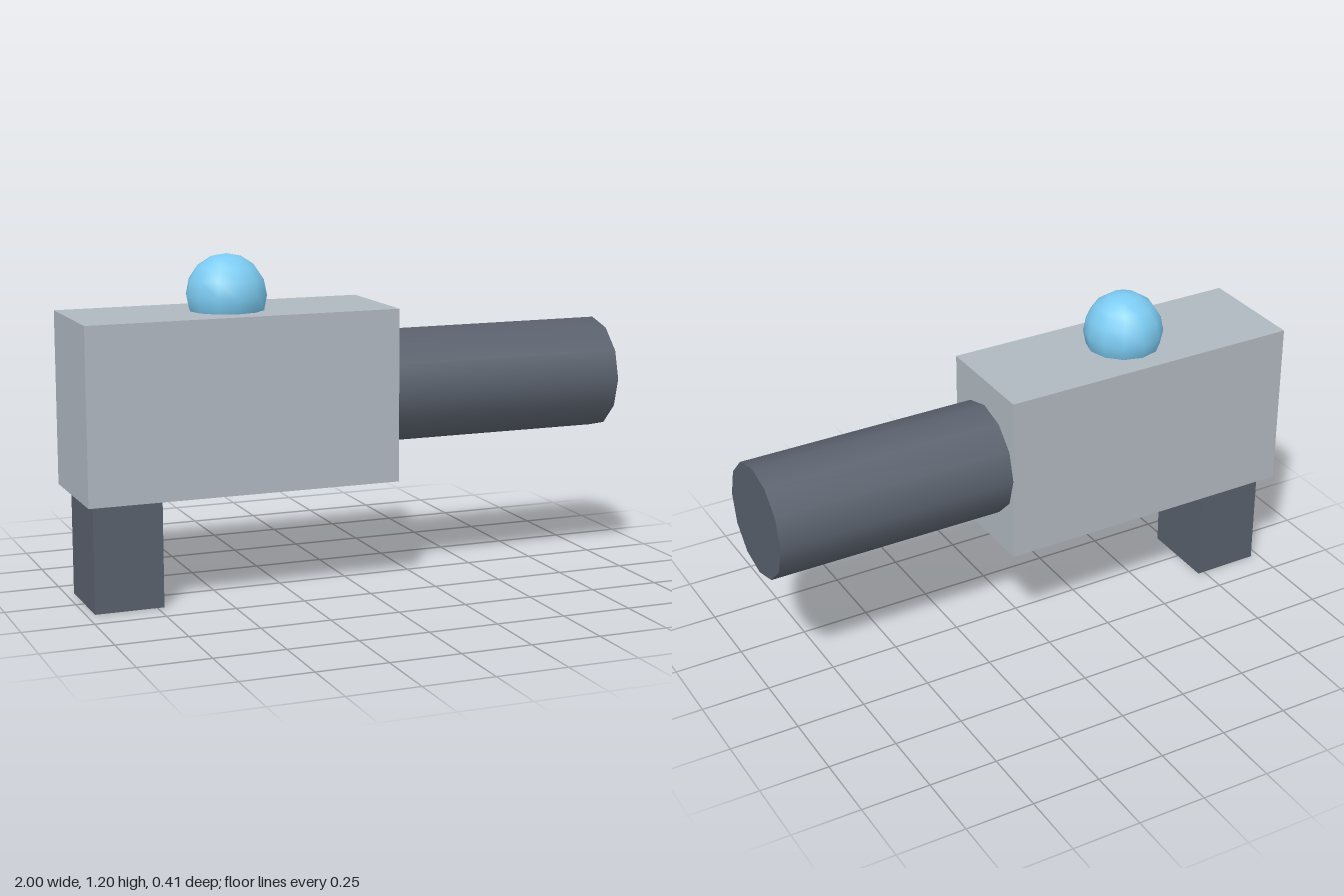
import * as THREE from 'three';

const lightGrey = new THREE.MeshStandardMaterial({ color: 0xb0b8c0 });
const darkGrey = new THREE.MeshStandardMaterial({ color: 0x59606c });
const blue = new THREE.MeshStandardMaterial({ color: 0x7ccbf2 });

function part(name, geometry, material, x, y, z = 0) {
  const mesh = new THREE.Mesh(geometry, material);
  mesh.name = name;
  mesh.position.set(x, y, z);
  return mesh;
}

export function createModel() {
  const group = new THREE.Group();
  group.name = 'blaster';

  // Boxy main housing
  group.add(part('body', new THREE.BoxGeometry(1.125, 0.615, 0.41), lightGrey, -0.4375, 0.6925));

  // Twelve-sided barrel pointing along +x
  const barrel = part('barrel', new THREE.CylinderGeometry(0.205, 0.205, 0.88, 12), darkGrey, 0.56, 0.695);
  barrel.rotation.z = -Math.PI / 2;
  group.add(barrel);

  // Grip under the rear end
  group.add(part('grip', new THREE.BoxGeometry(0.245, 0.387, 0.288), darkGrey, -0.8475, 0.1935));

  // Energy orb half sunk into the top
  group.add(part('orb', new THREE.SphereGeometry(0.143, 12, 8), blue, -0.44, 1.053));

  return group;
}
